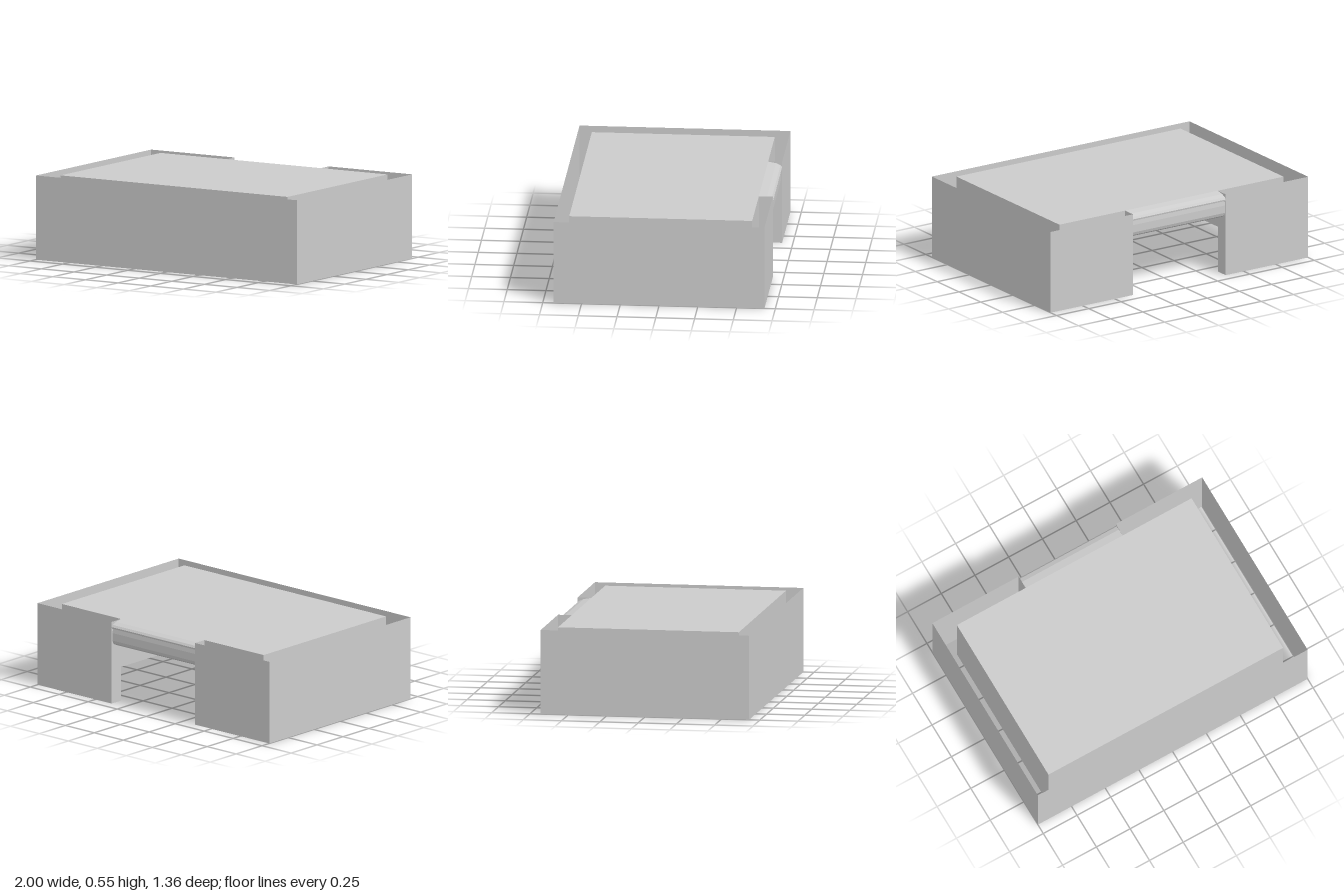
import * as THREE from 'three';

const H = 0.547; // overall height
const N = 0.36; // half width of the rear opening

const material = new THREE.MeshStandardMaterial({
  color: 0xcccccc, flatShading: true, side: THREE.DoubleSide,
});

// Sheet made of one quad between each pair of neighbouring points of two matching rails
function sheet(name, railA, railB) {
  const positions = [];
  for (let i = 0; i < railA.length - 1; i++) {
    const [a, b, c, d] = [railA[i], railA[i + 1], railB[i + 1], railB[i]];
    positions.push(...a, ...b, ...c, ...a, ...c, ...d);
  }
  const geometry = new THREE.BufferGeometry();
  geometry.setAttribute('position', new THREE.Float32BufferAttribute(positions, 3));
  geometry.computeVertexNormals();
  const mesh = new THREE.Mesh(geometry, material);
  mesh.name = name;
  return mesh;
}

// Upright wall following plan points [x, z]
function wall(name, plan) {
  return sheet(name, plan.map(([x, z]) => [x, 0, z]), plan.map(([x, z]) => [x, H, z]));
}

// C-shaped plan, open at the rear between x = -N and x = N
const cPlan = (x, z) => [[-N, -z], [-x, -z], [-x, z], [x, z], [x, -z], [N, -z]];

export function createModel() {
  const model = new THREE.Group();
  model.name = 'tray';

  // Two nested thin walls with an open gap between them
  model.add(wall('outerWall', cPlan(1, 0.68)));
  model.add(wall('innerWall', cPlan(0.87, 0.59)));

  // Cheeks closing the gap on both sides of the rear opening
  for (const [name, x] of [['leftOpeningCheek', N], ['rightOpeningCheek', -N]]) {
    model.add(wall(name, [[x, -0.68], [x, -0.59]]));
  }

  // Flat top panel over the inner wall
  const top = new THREE.Mesh(new THREE.PlaneGeometry(1.74, 1.18), material);
  top.name = 'topPanel';
  top.rotation.x = -Math.PI / 2;
  top.position.y = H;
  model.add(top);

  // Lintel across the opening: sloped top, small overhang, front band, rounded underside
  const profile = [
    [-0.59, H], [-0.64, 0.538], [-0.67, 0.525], [-0.68, 0.512], [-0.678, 0.502],
    [-0.668, 0.498], [-0.672, 0.47], [-0.672, 0.42], [-0.665, 0.4],
    [-0.645, 0.387], [-0.62, 0.387], [-0.605, 0.395], [-0.59, 0.4],
  ];
  model.add(sheet('openingLintel',
    profile.map(([z, y]) => [-N, y, z]),
    profile.map(([z, y]) => [N, y, z])));

  return model;
}
